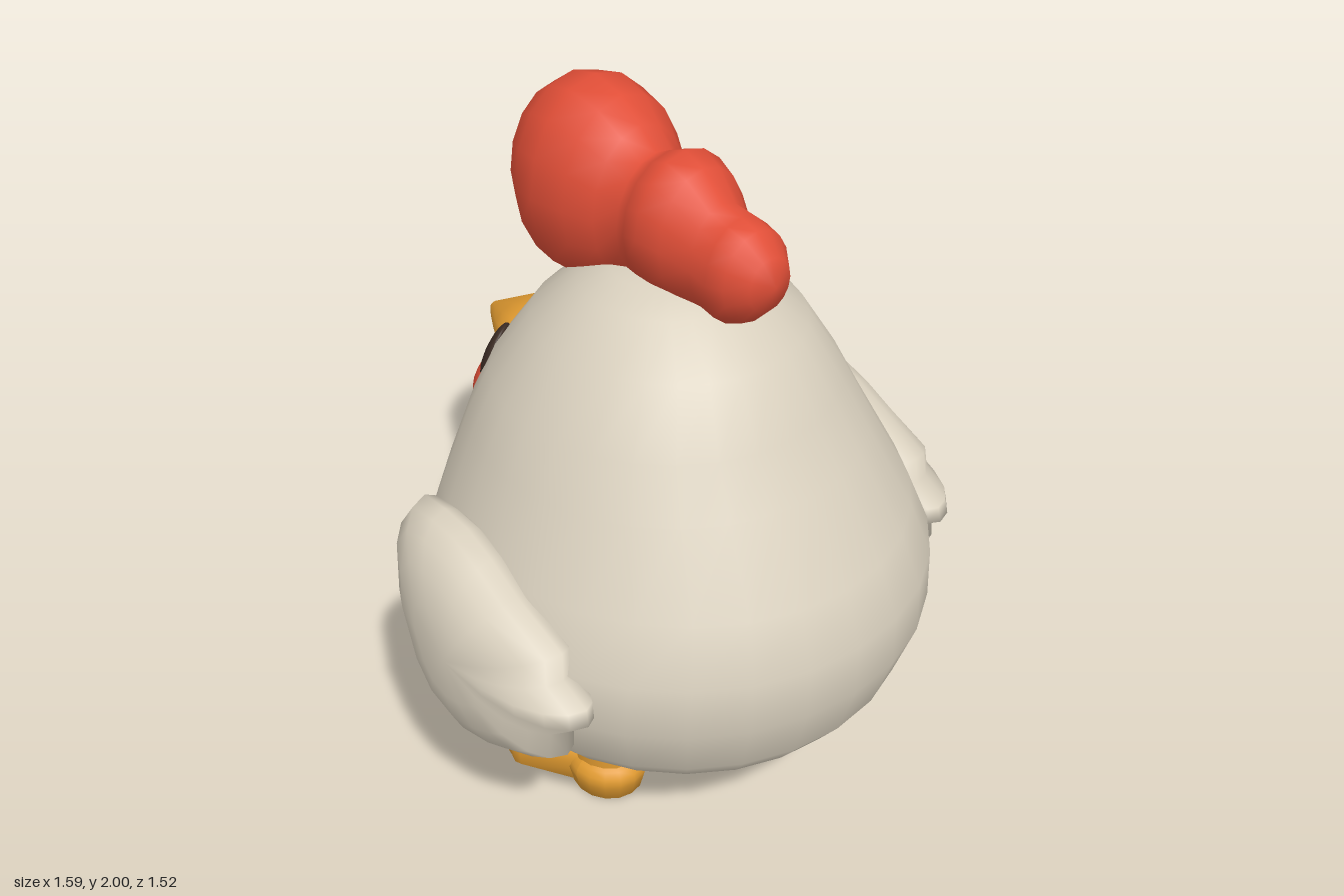
import * as THREE from 'three';
import { mergeVertices } from 'three/addons/utils/BufferGeometryUtils.js';

const mat = (name, color) => Object.assign(new THREE.MeshStandardMaterial({ color }), { name });

// Skin closed rings of [x, y, z] points; single-point end rings close the shape.
function loft(rings) {
  const n = rings[0].length, pos = rings.flat(2), idx = [];
  const p = (i) => new THREE.Vector3().fromArray(pos, i * 3);
  for (let r = 0; r < rings.length - 1; r++) {
    for (let i = 0; i < n; i++) {
      const a = r * n + i, b = r * n + (i + 1) % n;
      if (r > 0) idx.push(a, b, a + n);
      if (r < rings.length - 2) idx.push(b, b + n, a + n);
      else if (r === 0) idx.push(a, b + n, a + n);
    }
  }
  // fix the winding so that faces always point outwards
  let volume = 0;
  for (let i = 0; i < idx.length; i += 3) volume += p(idx[i]).dot(p(idx[i + 1]).cross(p(idx[i + 2])));
  if (volume < 0) idx.reverse();
  const g = new THREE.BufferGeometry();
  g.setAttribute('position', new THREE.Float32BufferAttribute(pos, 3));
  g.setIndex(idx);
  const merged = mergeVertices(g, 1e-5);
  merged.computeVertexNormals();
  return merged;
}

const ringOf = (n, f) => Array.from({ length: n }, (_, i) => {
  const a = (i / n) * Math.PI * 2;
  return f(Math.cos(a), Math.sin(a));
});

// Rows [z, top y, bottom y, half width], lofted along z
const loftZ = (rows, n = 16) => loft(rows.map(([z, top, bottom, hw]) =>
  ringOf(n, (c, s) => [c * hw, (top + bottom) / 2 + s * (top - bottom) / 2, z])));

// Wing outline, [z, y]
const wingOutline = [
  [-0.275, 0.945], [-0.26, 0.785], [-0.155, 0.6], [-0.05, 0.51], [0.095, 0.475], [0.22, 0.5],
  [0.33, 0.545], [0.4, 0.585], [0.395, 0.66], [0.465, 0.715], [0.455, 0.76], [0.37, 0.8],
  [0.36, 0.875], [0.19, 0.945], [0.08, 1.0], [-0.02, 1.035], [-0.12, 1.04], [-0.215, 1.03],
];

export function createModel() {
  const model = new THREE.Group();
  model.name = 'hen';
  const cream = mat('cream feathers', 0xd9d0be);
  const red = mat('red comb', 0xe04e37);
  const orange = mat('orange beak and feet', 0xe09a30);
  const dark = mat('dark eyes', 0x3c2c24);
  const add = (name, geo, material, parent = model) => {
    const m = new THREE.Mesh(geo, material);
    m.name = name;
    parent.add(m);
    return m;
  };

  // Body: rows of [y, half width, front z, back z]
  const bodyRows = [
    [0.19, 0, 0.05, 0.05], [0.205, 0.32, -0.28, 0.37], [0.215, 0.35, -0.31, 0.4], [0.25, 0.37, -0.33, 0.41],
    [0.335, 0.47, -0.5, 0.57], [0.41, 0.57, -0.56, 0.645], [0.49, 0.635, -0.605, 0.705],
    [0.65, 0.695, -0.635, 0.757], [0.8, 0.68, -0.62, 0.757], [0.95, 0.615, -0.58, 0.7],
    [1.155, 0.52, -0.51, 0.565], [1.29, 0.455, -0.445, 0.485], [1.45, 0.35, -0.33, 0.39],
    [1.55, 0.225, -0.21, 0.25], [1.585, 0.145, -0.12, 0.16], [1.605, 0, 0.0, 0.0],
  ];
  add('body', loft(bodyRows.map(([y, hw, f, b]) =>
    ringOf(28, (c, s) => [c * hw, y, (f + b) / 2 + s * (b - f) / 2]))), cream);

  // Comb: three swellings running front to back
  add('comb', loftZ([
    [-0.492, 1.74, 1.74, 0], [-0.47, 1.85, 1.62, 0.09], [-0.42, 1.925, 1.52, 0.15], [-0.34, 1.98, 1.455, 0.195],
    [-0.25, 2.0, 1.45, 0.215], [-0.15, 1.975, 1.47, 0.195], [-0.08, 1.92, 1.5, 0.155], [-0.02, 1.87, 1.53, 0.13],
    [0.03, 1.895, 1.54, 0.15], [0.085, 1.915, 1.54, 0.158], [0.15, 1.89, 1.54, 0.14], [0.22, 1.825, 1.54, 0.105],
    [0.285, 1.815, 1.535, 0.115], [0.34, 1.8, 1.56, 0.105], [0.39, 1.75, 1.61, 0.065], [0.41, 1.68, 1.68, 0],
  ]), red);

  // Beak
  add('upperBeak', loftZ([
    [-0.44, 1.15, 1.15, 0], [-0.47, 1.23, 1.08, 0.12], [-0.52, 1.24, 1.075, 0.145], [-0.6, 1.215, 1.085, 0.11],
    [-0.69, 1.165, 1.1, 0.055], [-0.745, 1.135, 1.105, 0.018], [-0.76, 1.12, 1.12, 0],
  ]), orange);
  add('lowerBeak', loftZ([
    [-0.44, 1.08, 1.08, 0], [-0.49, 1.12, 1.03, 0.12], [-0.56, 1.12, 1.03, 0.12], [-0.65, 1.105, 1.045, 0.07],
    [-0.71, 1.1, 1.07, 0.035], [-0.74, 1.09, 1.09, 0],
  ]), orange);

  for (const [side, s] of [['left', 1], ['right', -1]]) {
    // Wattle
    const wattle = add(side + 'Wattle', new THREE.SphereGeometry(1, 16, 12), red);
    wattle.scale.set(0.077, 0.115, 0.088);
    wattle.position.set(s * 0.073, 0.93, -0.632);
    wattle.rotation.set(0.2, 0, s * 0.2);

    // Eye, pressed flat against the head
    const eye = add(side + 'Eye', new THREE.SphereGeometry(1, 20, 12), dark);
    eye.position.set(s * 0.254, 1.24, -0.388);
    eye.lookAt(s * (0.254 + 0.55), 1.24 + 0.42, -0.388 - 0.836);
    eye.scale.set(0.064, 0.087, 0.022);

    // Wing: the outline shrinks towards a domed outer and inner side
    const wingRings = [];
    for (let i = 0; i <= 10; i++) {
      const t = (i / 10) * Math.PI, k = Math.pow(Math.sin(t), 0.8), d = Math.cos(t);
      const q = i % 10 === 0 ? 0 : k;
      wingRings.push(wingOutline.map(([z, y]) => {
        const py = 0.76 + (y - 0.76) * q, pz = 0.08 + (z - 0.08) * q;
        return [s * (0.65 - (py - 0.76) * 0.1 - pz * pz * 0.1 + d * (d > 0 ? 0.142 : 0.1)), py, pz];
      }));
    }
    add(side + 'Wing', loft(wingRings), cream);

    // Leg and three-toed foot with a flat sole
    const foot = new THREE.Group();
    foot.name = side + 'Foot';
    foot.position.x = s * 0.258;
    model.add(foot);
    const leg = add('leg', new THREE.CylinderGeometry(0.092, 0.092, 0.22, 16), orange, foot);
    leg.position.set(0, 0.17, 0.05);
    leg.scale.z = 1.17;
    const pads = [[0, -0.21, 0.074], [0.125, -0.15, 0.07], [-0.125, -0.15, 0.07]];
    pads.forEach(([x, z, r], i) => {
      const len = Math.hypot(x, z - 0.07);
      const g = new THREE.CapsuleGeometry(r, len, 5, 12);
      g.rotateX(Math.PI / 2).rotateY(Math.atan2(x, z - 0.07));
      g.translate(x / 2, 0.083, (z + 0.07) / 2);
      flattenSole(g);
      add('toe' + (i + 1), g, orange, foot);
    });
    const heel = new THREE.SphereGeometry(1, 16, 12).scale(0.115, 0.07, 0.125).translate(0, 0.07, 0.06);
    add('heel', flattenSole(heel), orange, foot);
  }
  return model;
}

// Press everything near the ground onto a flat sole
function flattenSole(g) {
  const p = g.attributes.position;
  for (let i = 0; i < p.count; i++) {
    const y = p.getY(i);
    if (y < 0.05) p.setY(i, Math.max(0.005, y - 0.03));
  }
  g.computeVertexNormals();
  return g;
}
